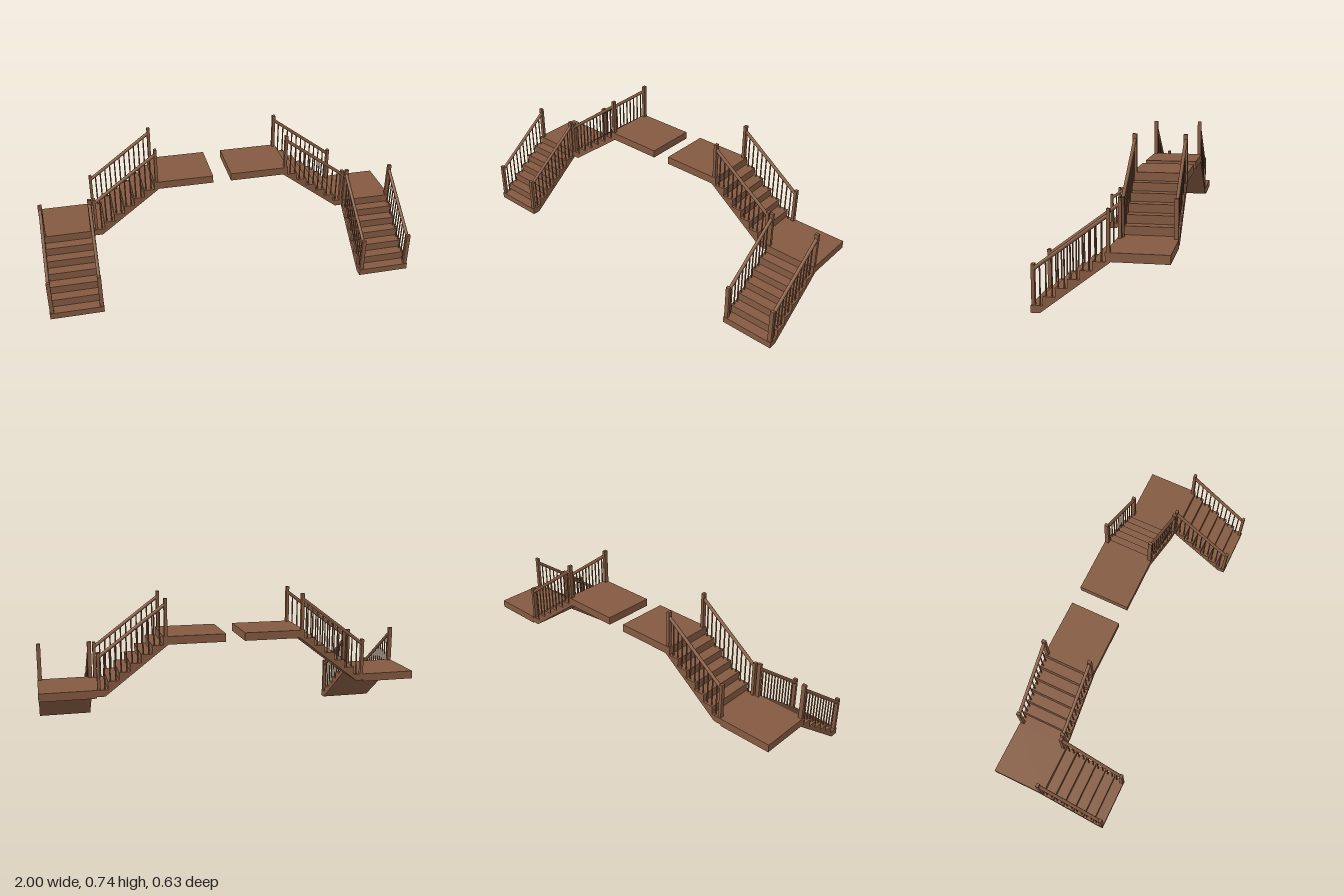
import * as THREE from 'three';

const wood = new THREE.MeshStandardMaterial({ color: 0x845a41 });
wood.name = 'brown wood';

const STEPS = 6, GOING = 0.0567, RISE = 0.0428, FIRST = 0.035;

function add(parent, name, geometry, x, y, z) {
  const mesh = new THREE.Mesh(geometry, wood);
  mesh.name = name;
  mesh.position.set(x, y, z);
  parent.add(mesh);
  return mesh;
}

// Solid stair body: stepped on top, sloping underneath, climbing along +x
function stairBody(width) {
  const s = new THREE.Shape();
  s.moveTo(0, 0);
  s.lineTo(0.042, 0);
  s.lineTo(0.366, 0.25);
  s.lineTo(STEPS * GOING, 0.25);
  for (let i = STEPS - 1; i >= 0; i--) {
    s.lineTo((i + 1) * GOING, FIRST + i * RISE);
    s.lineTo(i * GOING, FIRST + i * RISE);
  }
  const g = new THREE.ExtrudeGeometry(s, { depth: width, bevelEnabled: false });
  g.translate(0, 0, -width / 2);
  return g;
}

// Height of the handrail's centre line along the run
const railY = (x) => 0.206 + (x - 0.02) * 0.75;

// Newel posts, round handrail and two balusters per tread
function railing() {
  const g = new THREE.Group();
  g.name = 'railing';
  add(g, 'bottomPost', new THREE.BoxGeometry(0.016, 0.19, 0.021), 0.012, 0.13, 0);
  add(g, 'topPost', new THREE.BoxGeometry(0.016, 0.235, 0.021), 0.354, 0.3675, 0);

  const x0 = 0.012, x1 = 0.354;
  const length = Math.hypot(x1 - x0, railY(x1) - railY(x0));
  const rail = add(g, 'handrail', new THREE.CylinderGeometry(0.009, 0.009, length, 12),
    (x0 + x1) / 2, (railY(x0) + railY(x1)) / 2, 0);
  rail.rotation.z = Math.atan2(railY(x1) - railY(x0), x1 - x0) - Math.PI / 2;

  for (let i = 0; i < STEPS * 2 - 1; i++) {
    const x = 0.042 + i * 0.0281;
    const base = FIRST + Math.floor(x / GOING) * RISE;
    const h = railY(x) - base;
    add(g, 'baluster', new THREE.CylinderGeometry(0.0035, 0.004, h, 8), x, base + h / 2, 0);
  }
  return g;
}

function flight(name, width) {
  const g = new THREE.Group();
  g.name = name;
  add(g, 'steps', stairBody(width), 0, 0, 0);
  for (const side of [-1, 1]) {
    const r = railing();
    r.position.z = side * (width / 2 - 0.012);
    g.add(r);
  }
  return g;
}

export function createModel() {
  const model = new THREE.Group();
  model.name = 'twinStaircase';

  for (const side of [-1, 1]) {
    const stair = new THREE.Group();
    stair.name = side > 0 ? 'leftStaircase' : 'rightStaircase';

    // Lower flight climbs towards the back
    const lower = flight('lowerFlight', 0.284);
    lower.rotation.y = Math.PI / 2;
    lower.position.set(side * 0.858, 0, 0.314);
    stair.add(lower);
    add(stair, 'cornerLanding', new THREE.BoxGeometry(0.285, 0.042, 0.288),
      side * 0.8575, 0.271, -0.17);

    // Upper flight turns and climbs towards the middle
    const upper = flight('upperFlight', 0.28);
    upper.rotation.y = side > 0 ? Math.PI : 0;
    upper.position.set(side * 0.715, 0.257, -0.173);
    stair.add(upper);
    add(stair, 'topLanding', new THREE.BoxGeometry(0.325, 0.042, 0.28),
      side * 0.2125, 0.528, -0.173);

    model.add(stair);
  }
  return model;
}
